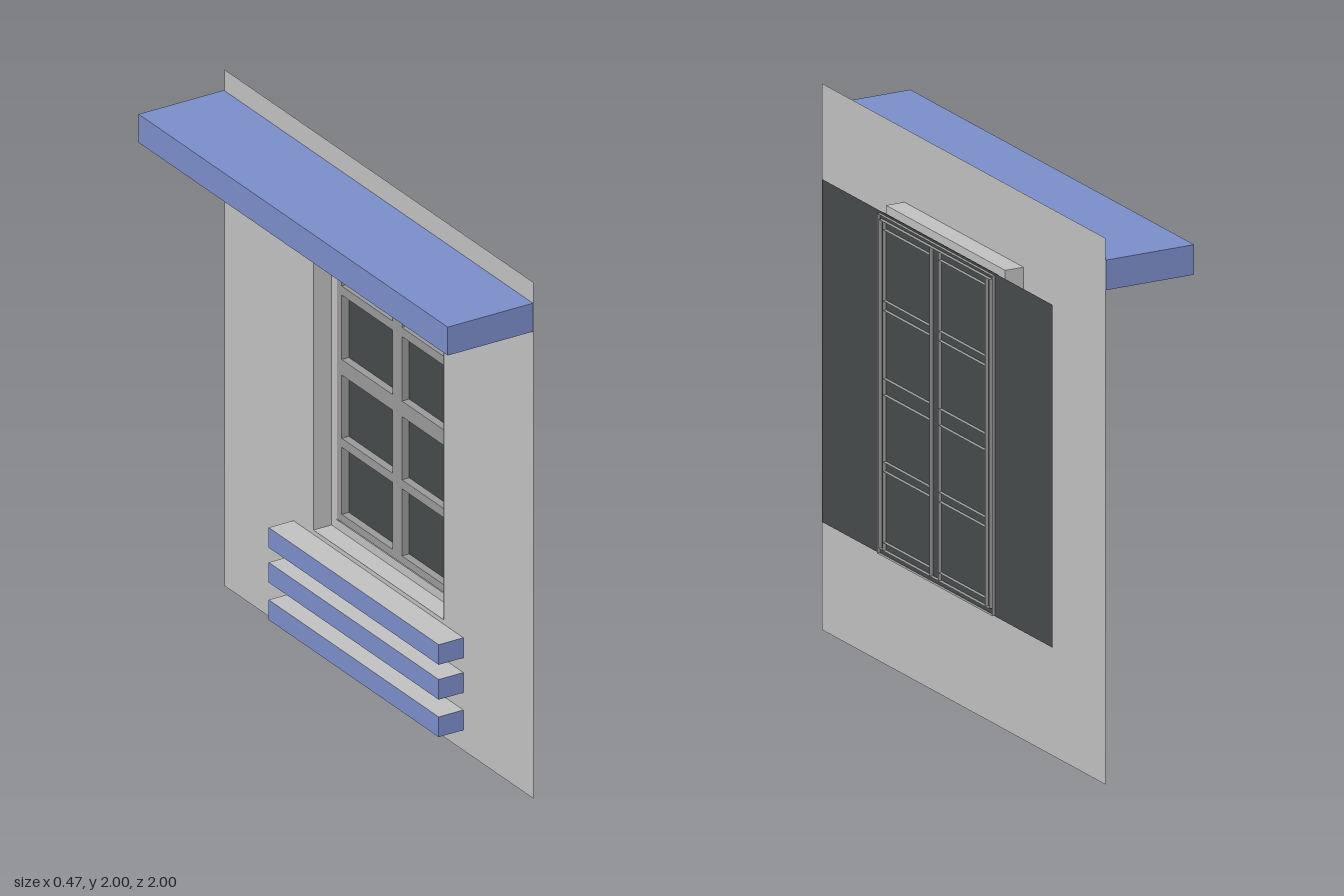
import * as THREE from 'three';

export function createModel() {
  const model = new THREE.Group();
  const mat = (name, color) =>
    Object.assign(new THREE.MeshStandardMaterial({ color, side: THREE.DoubleSide }), { name });
  const plaster = mat('pale grey plaster', 0xc0c0c0);
  const blue = mat('blue paint', 0x7a8dc8);
  const metal = mat('mid grey frame', 0x999999);
  const glassMat = mat('dark glass', 0x454a4b);

  // Box from ranges; skipFaces drops the +x face (1) or both x faces (2)
  function box(name, material, [x0, x1], [y0, y1], [z0, z1], skipFaces = 0, parent = model) {
    const g = new THREE.BoxGeometry(x1 - x0, y1 - y0, z1 - z0);
    if (skipFaces) {
      g.setIndex(Array.from(g.index.array).slice(skipFaces * 6));
      g.clearGroups();
    }
    g.translate((x0 + x1) / 2, (y0 + y1) / 2, (z0 + z1) / 2);
    const m = new THREE.Mesh(g, material);
    m.name = name;
    parent.add(m);
    return m;
  }

  // Flat sheet across the window axis, with an optional rectangular opening
  function sheet(name, material, x, [y0, y1], halfZ, hole) {
    const rect = (S, a, b, h) => new S([
      new THREE.Vector2(-h, a), new THREE.Vector2(h, a),
      new THREE.Vector2(h, b), new THREE.Vector2(-h, b)]);
    const shape = rect(THREE.Shape, y0, y1, halfZ);
    if (hole) shape.holes.push(rect(THREE.Path, ...hole));
    const g = new THREE.ShapeGeometry(shape).rotateY(-Math.PI / 2).translate(x, 0, 0);
    const m = new THREE.Mesh(g, material);
    m.name = name;
    model.add(m);
  }

  // Wall with window opening, and the lining of the opening
  sheet('wall', plaster, 0.114, [0, 2], 1, [0.455, 1.73, 0.42]);
  box('windowReveal', plaster, [0.112, 0.187], [0.455, 1.73], [-0.42, 0.42], 2);
  sheet('revealFlange', plaster, 0.187, [0.455, 1.73], 0.42, [0.49, 1.695, 0.385]);

  // Projecting canopy
  box('canopy', blue, [-0.24, 0.112], [1.81, 1.92], [-1, 1]);

  // Three ledges below the window: blue fronts and ends, plain tops and undersides
  for (const y of [0.08, 0.225, 0.36])
    box('ledge', [plaster, blue, plaster, plaster, blue, blue],
      [0.01, 0.112], [y, y + 0.078], [-0.55, 0.55]);

  // Large glass pane
  sheet('glass', glassMat, 0.22, [0.465, 1.72], 0.81);

  // Window frame of open-backed bars
  const frame = new THREE.Group();
  frame.name = 'windowFrame';
  model.add(frame);
  const depth = [0.19, 0.234];
  for (const s of [-1, 1])
    box('frameStile', metal, depth, [0.49, 1.695], s < 0 ? [-0.39, -0.36] : [0.36, 0.39], 1, frame);
  box('centreMullion', metal, depth, [0.49, 1.695], [-0.03, 0.03], 1, frame);
  const rails = [[0.49, 0.52], [0.78, 0.815], [1.06, 1.12], [1.37, 1.405], [1.665, 1.695]];
  for (const y of rails)
    for (const z of [[-0.36, -0.03], [0.03, 0.36]])
      box('frameRail', metal, depth, y, z, 1, frame);
  box('frameLip', metal, [0.205, 0.232], [0.468, 1.712], [-0.405, 0.405], 2, frame);

  return model;
}
